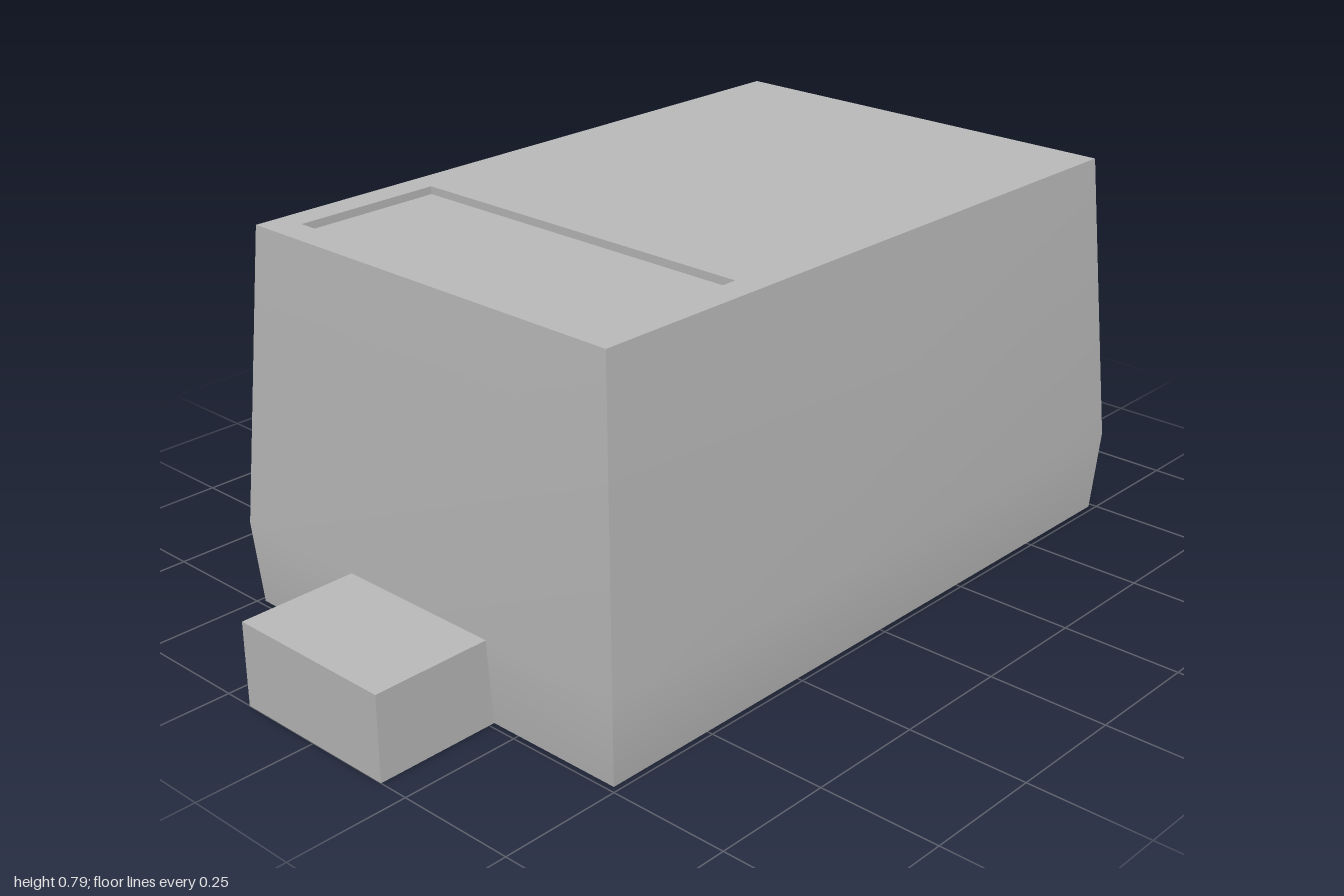
import * as THREE from 'three';

export function createModel() {
  const model = new THREE.Group();
  const grey = new THREE.MeshStandardMaterial({ color: 0xbcbcbc });
  grey.name = 'plain grey';

  const add = (name, geometry, x = 0, y = 0, z = 0) => {
    const mesh = new THREE.Mesh(geometry, grey);
    mesh.name = name;
    mesh.position.set(x, y, z);
    model.add(mesh);
  };

  // Body cross-sections: [height, half width, half depth]
  const rings = [[0, 0.738, 0.488], [0.175, 0.75, 0.5], [0.79, 0.708, 0.457]];
  const [, topX, topZ] = rings[2];
  const corners = [[-1, 1], [1, 1], [1, -1], [-1, -1]];

  // Four side walls, each smooth over its waist and sharp at the corners
  corners.forEach((a, i) => {
    const b = corners[(i + 1) % 4];
    const points = rings.flatMap(([y, w, d]) => [a[0] * w, y, a[1] * d, b[0] * w, y, b[1] * d]);
    const wall = new THREE.BufferGeometry();
    wall.setAttribute('position', new THREE.Float32BufferAttribute(points, 3));
    wall.setIndex([0, 1, 3, 0, 3, 2, 2, 3, 5, 2, 5, 4]);
    wall.computeVertexNormals();
    add(['frontWall', 'leftWall', 'backWall', 'rightWall'][i], wall);
  });

  // Underside
  add('underside', new THREE.PlaneGeometry(2 * rings[0][1], 2 * rings[0][2]).rotateX(Math.PI / 2));

  // Top slab with a rectangular opening for the shallow marking recess
  const rect = (x0, x1, z, PathType) => new PathType([
    new THREE.Vector2(x0, -z), new THREE.Vector2(x1, -z),
    new THREE.Vector2(x1, z), new THREE.Vector2(x0, z),
  ]);
  const depth = 0.016;
  const top = rect(-topX, topX, topZ, THREE.Shape);
  top.holes.push(rect(-0.648, -0.332, 0.398, THREE.Path));
  const slab = new THREE.ExtrudeGeometry(top, { depth, bevelEnabled: false });
  add('top', slab.rotateX(-Math.PI / 2), 0, 0.79 - depth, 0);
  add('recessFloor', new THREE.PlaneGeometry(0.316, 0.796).rotateX(-Math.PI / 2), -0.49, 0.79 - depth, 0);

  // Terminals at both ends
  for (const side of [-1, 1]) {
    add(side > 0 ? 'leftTerminal' : 'rightTerminal',
      new THREE.BoxGeometry(0.262, 0.175, 0.372), side * 0.869, 0.0875, 0);
  }
  return model;
}
